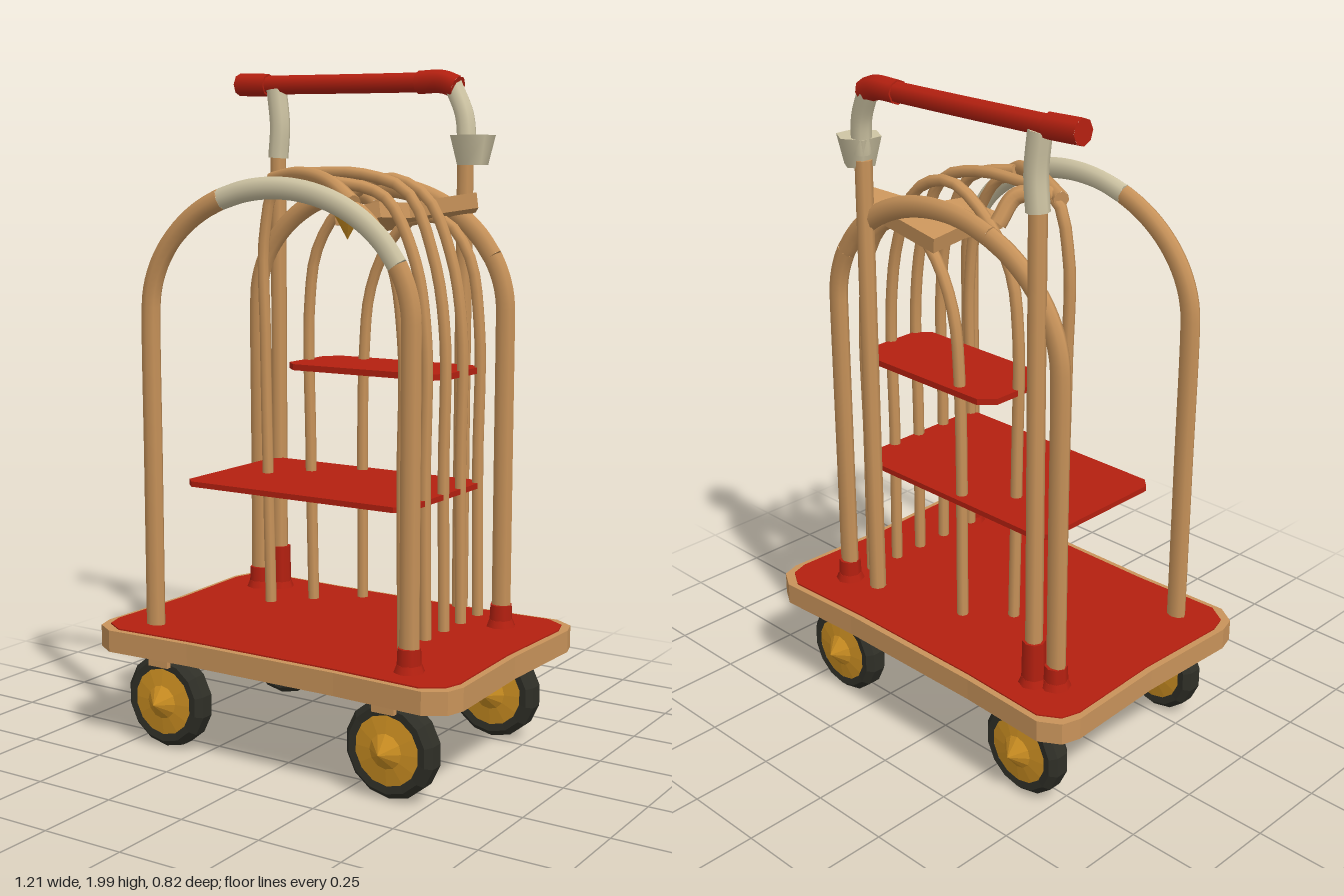
import * as THREE from 'three';

const mat = (name, color) => {
  const m = new THREE.MeshStandardMaterial({ color });
  m.name = name;
  return m;
};

export function createModel() {
  const root = new THREE.Group();
  root.name = 'luggageCart';
  const tan = mat('tan', 0xc8935a), red = mat('red', 0xb42010), cream = mat('cream', 0xcfc5a4);
  const rubber = mat('rubber', 0x2f2f27), yellow = mat('yellow', 0xcc8f22);

  const V = (x, y, z = 0) => new THREE.Vector3(x, y, z);
  const add = (name, geo, material, pos = [0, 0, 0], parent = root) => {
    const m = new THREE.Mesh(geo, material);
    m.name = name;
    m.position.set(...pos);
    parent.add(m);
    return m;
  };
  // Round bar through points, closed by small end caps
  const bar = (name, pts, r, material, parent = root) => {
    const g = new THREE.Group();
    g.name = name;
    const curve = new THREE.CatmullRomCurve3(pts, false, 'centripetal');
    add(name + 'Tube', new THREE.TubeGeometry(curve, pts.length * 5, r, 8), material, [0, 0, 0], g);
    for (const t of [0, 1]) {
      const cap = add(name + 'End', new THREE.CircleGeometry(r, 8), material, curve.getPoint(t).toArray(), g);
      const dir = curve.getTangent(t).multiplyScalar(t ? 1 : -1);
      cap.quaternion.setFromUnitVectors(V(0, 0, 1), dir);
    }
    parent.add(g);
    return g;
  };
  // Horizontal plate from an [x, z] outline
  const plate = (name, outline, y, h, material) => {
    const s = new THREE.Shape(outline.map(([x, z]) => new THREE.Vector2(x, -z)));
    const geo = new THREE.ExtrudeGeometry(s, { depth: h, bevelEnabled: false }).rotateX(-Math.PI / 2);
    return add(name, geo, material, [0, y, 0]);
  };

  // Deck: slightly concave outline with softened corners
  const deck = (k) => {
    const q = [[0.595, 0], [0.607, 0.32], [0.59, 0.375], [0.53, 0.412], [0.25, 0.4]];
    const at = ([x, z], sx, sz) => [sx * (x - k), sz * Math.max(z - k, 0)];
    const r = [...q].reverse();
    return [
      ...q.map((p) => at(p, 1, 1)), ...r.map((p) => at(p, -1, 1)),
      ...q.slice(1).map((p) => at(p, -1, -1)), ...r.slice(0, 4).map((p) => at(p, 1, -1)),
    ];
  };
  plate('deckRim', deck(0), 0.295, 0.065, tan);
  plate('deckCarpet', deck(0.02), 0.358, 0.006, red);
  plate('deckUnderside', deck(0.02), 0.291, 0.006, red);

  // Casters
  const lathe = (pts, n) => {
    const g = new THREE.LatheGeometry(pts.map(([r, y]) => new THREE.Vector2(r, y)), n).rotateX(Math.PI / 2);
    const flat = g.toNonIndexed();
    flat.computeVertexNormals();
    return flat;
  };
  const tyreGeo = lathe([[0.1, -0.036], [0.122, -0.038], [0.14, -0.02], [0.14, 0.02], [0.122, 0.038], [0.1, 0.036]], 14);
  const hubGeo = lathe([[0, -0.082], [0.05, -0.042], [0.105, -0.034], [0.105, 0.034], [0.05, 0.042], [0, 0.082]], 12);
  for (const x of [-0.385, 0.385]) for (const z of [0.308, -0.295]) {
    const w = new THREE.Group();
    w.name = 'caster';
    w.position.set(x, 0.15, z);
    add('tyre', tyreGeo, rubber, [0, 0, 0], w);
    add('hub', hubGeo, yellow, [0, 0, 0], w);
    for (const s of [-1, 1]) add('forkCheek', new THREE.BoxGeometry(0.07, 0.035, 0.016), tan, [0, 0.128, s * 0.05], w);
    add('swivelStub', new THREE.CylinderGeometry(0.02, 0.02, 0.02, 6), red, [0, 0.138, 0], w);
    root.add(w);
  }

  // Big end arches, built in angle sections so the crown can be cream
  const arc = (a0, a1) => {
    const pts = [];
    for (let i = 0; i <= 8; i++) {
      const a = a0 + (a1 - a0) * i / 8;
      pts.push(V(-0.015 + 0.437 * Math.cos(a), 1.3 + 0.355 * Math.sin(a)));
    }
    return pts;
  };
  for (const [name, z, crown] of [['frontArch', 0.288, cream], ['backArch', -0.25, tan]]) {
    const g = new THREE.Group();
    g.name = name;
    g.position.z = z;
    g.scale.z = 0.75;
    bar('rightLeg', [V(-0.452, 0.36), V(-0.452, 0.85), ...arc(Math.PI, 2.0)], 0.031, tan, g);
    bar('crown', arc(2.0, 0.45), 0.031, crown, g);
    bar('leftLeg', [...arc(0.45, 0), V(0.422, 0.85), V(0.422, 0.36)], 0.031, tan, g);
    root.add(g);
  }

  // Red foot sockets
  for (const [x, z, h] of [[0.422, 0.288, 0.07], [0.422, -0.25, 0.07], [-0.452, -0.25, 0.07], [-0.395, -0.28, 0.14]]) {
    add('footSocket', new THREE.CylinderGeometry(0.033, 0.036, h, 8), red, [x, 0.36 + h / 2, z]);
    add('footFlange', new THREE.CylinderGeometry(0.036, 0.046, 0.025, 8), red, [x, 0.372, z]);
  }

  // Push handle, its posts and fittings
  const hz = -0.28;
  bar('tallPost', [V(-0.395, 0.36, hz), V(-0.395, 1.1, hz), V(-0.395, 1.76, hz)], 0.025, tan);
  bar('tallPostNeck', [V(-0.395, 1.74, hz), V(-0.388, 1.84, hz), V(-0.4, 1.95, hz)], 0.032, cream);
  bar('shortPost', [V(0.275, 0.4, -0.265), V(0.275, 1.1, -0.265), V(0.28, 1.74, -0.26)], 0.025, tan);
  add('postCollar', new THREE.CylinderGeometry(0.066, 0.045, 0.085, 6), cream, [0.31, 1.76, -0.248]);
  bar('shortPostNeck', [V(0.285, 1.76, -0.26), V(0.27, 1.86, -0.27), V(0.225, 1.95, hz)], 0.029, cream);
  bar('handleGrip', [V(-0.48, 1.965, hz), V(-0.1, 1.96, hz), V(0.12, 1.958, hz)], 0.029, red);
  bar('handleGripRightEnd', [V(-0.54, 1.968, hz), V(-0.43, 1.964, hz)], 0.035, red);
  bar('handleGripLeftEnd', [V(0.11, 1.958, hz), V(0.19, 1.958, hz), V(0.245, 1.94, -0.275)], 0.034, red);

  // Shelves with clipped corners
  const clipped = (x0, x1, z0, z1, c) => [
    [x0 + c, z1], [x1 - c, z1], [x1, z1 - c], [x1, z0 + c],
    [x1 - c, z0], [x0 + c, z0], [x0, z0 + c], [x0, z1 - c]];
  plate('lowerShelf', clipped(-0.38, 0.37, -0.235, 0.24, 0.03), 0.782, 0.016, red);
  plate('upperShelf', clipped(-0.17, 0.365, -0.235, 0.03, 0.04), 1.12, 0.018, red);

  // Cage ribs: outer legs in a row, tops bending over to a far point
  const rib = (name, z, topY, rest) => bar(name,
    [V(0.368, 0.4, z), V(0.362, 0.85, z), V(0.362, 1.25, z), V(0.325, 1.46, z), V(0.24, topY - 0.06, z), ...rest], 0.017, tan);
  rib('cageRibFront', 0.228, 1.65, [V(0.19, 1.61, 0.235)]);
  rib('cageRibFrontMiddle', 0.105, 1.68, [V(0.17, 1.655, 0.11), V(0.08, 1.67, 0.135)]);
  rib('cageRibMiddle', 0, 1.7, [V(0.1, 1.69), V(-0.05, 1.695), V(-0.2, 1.675),
    V(-0.25, 1.52), V(-0.25, 1.2), V(-0.235, 0.4)]);
  rib('cageRibBackMiddle', -0.1, 1.69, [V(0.1, 1.68, -0.1), V(-0.04, 1.6, -0.1), V(-0.13, 1.47, -0.1),
    V(-0.158, 1.3, -0.1), V(-0.155, 0.9, -0.1), V(-0.145, 0.4, -0.1)]);
  rib('cageRibBack', -0.205, 1.62, [V(0.14, 1.56, -0.2), V(0.06, 1.49, -0.2), V(-0.005, 1.35, -0.2),
    V(-0.027, 1.15, -0.2), V(-0.03, 0.4, -0.2)]);
  bar('cageDiagonal', [V(-0.22, 1.675, 0), V(-0.08, 1.69, 0.07), V(0.08, 1.67, 0.16), V(0.21, 1.615, 0.24)], 0.023, tan);
  bar('cageCrossTie', [V(-0.17, 1.68, 0), V(-0.1, 1.67, -0.05), V(-0.08, 1.6, -0.1)], 0.025, tan);
  bar('cageBackBranch', [V(-0.13, 1.63, -0.235), V(-0.02, 1.62, -0.2), V(0.06, 1.6, -0.13)], 0.02, tan);

  // Web plate joining the ribs at the top, with a hanging knob
  const web = plate('cageWeb', [[0, 0], [0.14, -0.02], [0.18, -0.12], [0.37, -0.18], [0.33, -0.24], [0.03, -0.24], [0.03, -0.12]], 1.545, 0.045, tan);
  web.rotation.z = 0.2;
  web.rotation.x = -0.12;
  add('hangingKnob', new THREE.ConeGeometry(0.04, 0.07, 5), yellow, [0.04, 1.54, 0]).rotation.x = Math.PI;

  return root;
}
